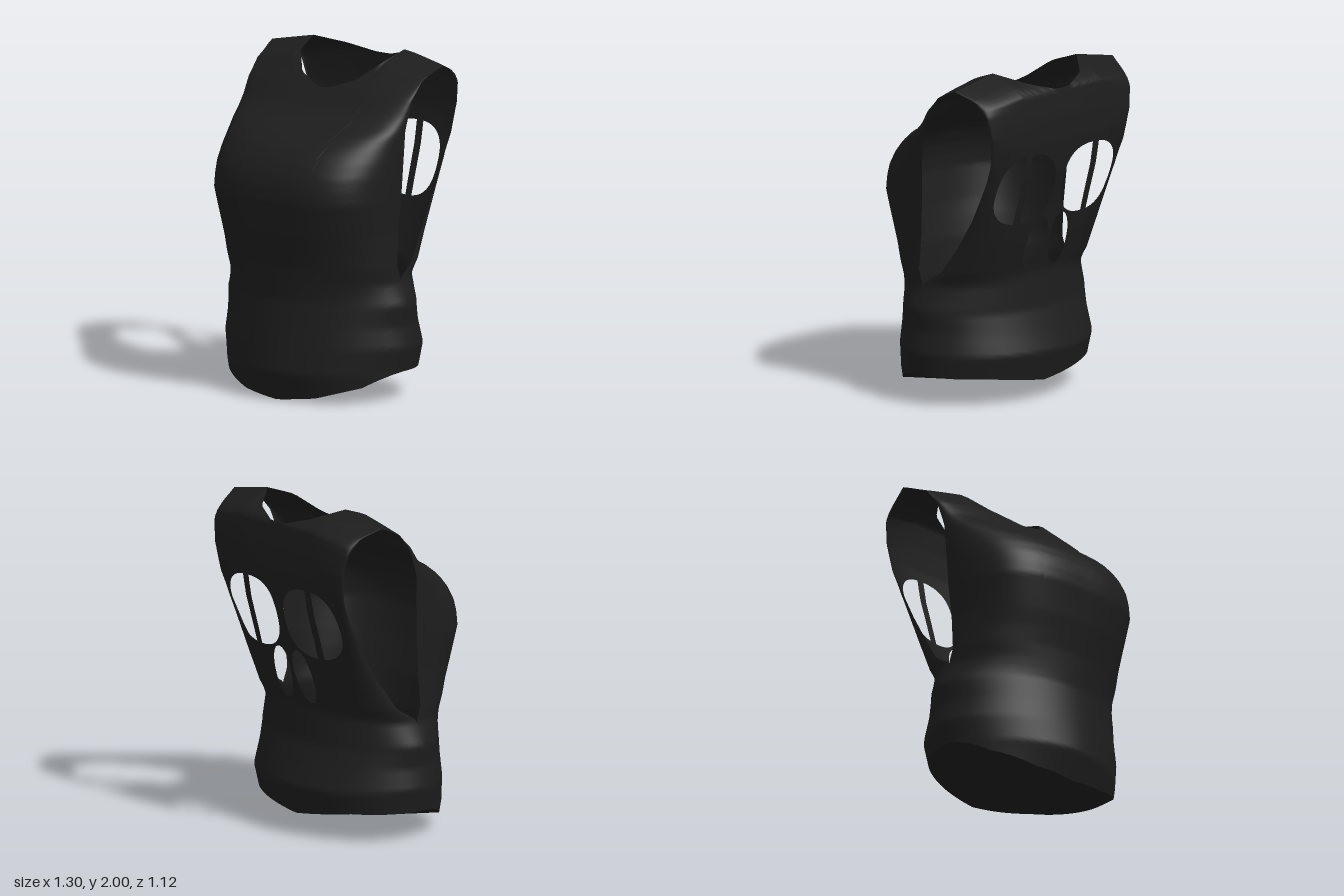
import * as THREE from 'three';

const cloth = new THREE.MeshStandardMaterial({ color: 0x1d1d1d, side: THREE.DoubleSide });
cloth.name = 'black cloth';

// Piecewise-linear lookup in a list of [key, value] pairs
function look(table, k) {
  if (k <= table[0][0]) return table[0][1];
  for (let i = 1; i < table.length; i++) {
    const [k0, v0] = table[i - 1], [k1, v1] = table[i];
    if (k <= k1) return v0 + (v1 - v0) * (k - k0) / (k1 - k0);
  }
  return table[table.length - 1][1];
}

// Half-width below the armholes, shared by both panels, and folds bulging at the side seams
const sideX = [[0, 0.61], [0.18, 0.61], [0.32, 0.625], [0.45, 0.608], [0.58, 0.6], [0.7, 0.582]];
const sideFold = [[0.1, 0.008], [0.18, 0.01], [0.32, 0.024], [0.45, 0.014], [0.57, 0.036], [0.7, 0]];

// Each panel: fullness of its section, half-width, depth at its middle and at its side edge by height;
// neckline and hem by |u|
const front = {
  power: [[0.1, 1.85], [0.65, 1.95], [0.9, 2.3], [1.2, 3.0], [1.35, 2.8], [1.5, 2.4], [1.8, 2.5]],
  halfX: [...sideX, [1.0, 0.575], [1.2, 0.585], [1.6, 0.6], [1.95, 0.61], [2, 0.638]],
  midZ: [[0, 0.46], [0.17, 0.52], [0.6, 0.47], [0.8, 0.49], [1.0, 0.535], [1.2, 0.565], [1.28, 0.56], [1.35, 0.542],
    [1.43, 0.5], [1.5, 0.44], [1.57, 0.33], [1.62, 0.22], [1.68, 0.13], [1.8, 0.02], [1.94, -0.14], [2, -0.31]],
  edgeZ: [[0.72, 0.03], [0.8, 0.06], [1.2, 0.03], [1.6, 0.01], [1.8, -0.05], [1.92, -0.13],
    [1.97, -0.22], [2, -0.3]],
  neck: [[0, 1.785], [0.1, 1.795], [0.33, 1.845], [0.5, 1.945], [0.53, 2]],
  hem: [[0, 0], [0.42, 0.03], [0.81, 0.1], [1, 0.18]],
};
const back = {
  power: [[0.2, 2.1], [0.8, 2.1], [1.0, 2.2], [1.5, 2.2], [1.8, 2.8], [1.95, 2.8], [2, 2.5]],
  halfX: [...sideX, [0.8, 0.56], [0.97, 0.535], [1.15, 0.525], [1.4, 0.525], [1.65, 0.55], [1.95, 0.595], [2, 0.638]],
  midZ: [[0.12, -0.39], [0.3, -0.445], [0.42, -0.405], [0.55, -0.365], [0.77, -0.355], [1.0, -0.425], [1.2, -0.475],
    [1.4, -0.53], [1.6, -0.56], [1.75, -0.555], [1.9, -0.54], [1.945, -0.47], [2, -0.31]],
  edgeZ: [[0.72, 0.03], [0.8, -0.1], [0.97, -0.22], [1.15, -0.33], [1.35, -0.43], [1.5, -0.495],
    [1.68, -0.525], [1.85, -0.5], [1.95, -0.42], [2, -0.3]],
  neck: [[0, 1.9], [0.1, 1.902], [0.36, 1.945], [0.53, 2]],
  hem: [[0, 0.12], [0.64, 0.175], [1, 0.18]],
};

// Cutouts in the back: two large rounded ones, two small tilted ones below
const holes = [];
for (const s of [1, -1]) {
  holes.push({ x: s * 0.247, y: 1.32, rx: 0.215, ry: 0.215, tilt: 0, power: 2.5 });
  holes.push({ x: s * 0.09, y: 0.96, rx: 0.072, ry: 0.165, tilt: s * 0.1, power: 2.2 });
}

// Push a point out of any cutout; returns the cutout it lay in
function pushOut(p) {
  for (const h of holes) {
    const c = Math.cos(h.tilt), s = Math.sin(h.tilt);
    const dx = p.x - h.x, dy = p.y - h.y;
    const a = Math.abs(dx * c + dy * s) / h.rx, b = Math.abs(-dx * s + dy * c) / h.ry;
    const r = Math.pow(Math.pow(a, h.power) + Math.pow(b, h.power), 1 / h.power);
    if (r < 1 && r > 0) {
      p.x = h.x + dx / r;
      p.y = h.y + dy / r;
      return h;
    }
  }
  return null;
}

// Point on a panel from its width and pattern height
function surface(panel, x, y) {
  const a = Math.min(1, Math.abs(x) / look(panel.halfX, y));
  const power = look(panel.power, y);
  const round = Math.pow(Math.max(0, 1 - Math.pow(a, power)), 1 / power);
  const edge = look(panel.edgeZ, y);
  const z = edge + (look(panel.midZ, y) - edge) * round;
  const slope = 0.06 * Math.max(0, (a - 0.53) / 0.47) * THREE.MathUtils.smoothstep(y, 1.6, 2);
  const fold = Math.sign(x) * look(sideFold, y) * Math.pow(a, 10);
  return [x + fold, y - slope, z];
}

// Grid of quads from a point function; keep(i, j) may drop a quad
function grid(cols, rows, point, flip, keep = () => true) {
  const pos = [], index = [];
  for (let j = 0; j <= rows; j++) for (let i = 0; i <= cols; i++) pos.push(...point(i, j));
  for (let j = 0; j < rows; j++) for (let i = 0; i < cols; i++) {
    if (!keep(i, j)) continue;
    const a = j * (cols + 1) + i, b = a + 1, d = a + cols + 1, c = d + 1;
    index.push(...(flip ? [a, c, b, a, d, c] : [a, b, c, a, c, d]));
  }
  const g = new THREE.BufferGeometry();
  g.setAttribute('position', new THREE.Float32BufferAttribute(pos, 3));
  g.setIndex(index);
  g.computeVertexNormals();
  return g;
}

const COLS = 90, ROWS = 90;
const uAt = (i) => Math.sin((i / COLS * 2 - 1) * Math.PI / 2);

function panelGeometry(panel, cut) {
  const inside = [];
  const point = (i, j) => {
    const u = uAt(i), a = Math.abs(u);
    const y = THREE.MathUtils.lerp(look(panel.hem, a), look(panel.neck, a), j / ROWS);
    const p = { x: u * look(panel.halfX, y), y };
    inside[j * (COLS + 1) + i] = cut ? pushOut(p) : null;
    return surface(panel, p.x, p.y);
  };
  const keep = (i, j) => {
    const k = j * (COLS + 1) + i, h = inside[k];
    return !(h && [k + 1, k + COLS + 1, k + COLS + 2].every((n) => inside[n] === h));
  };
  return grid(COLS, ROWS, point, cut, keep);
}

export function createModel() {
  const group = new THREE.Group();
  group.name = 'sleeveless top';
  const add = (name, geometry) => {
    const mesh = new THREE.Mesh(geometry, cloth);
    mesh.name = name;
    group.add(mesh);
  };

  add('front panel', panelGeometry(front, false));
  add('back panel', panelGeometry(back, true));

  // Narrow straps across the two large cutouts
  for (const s of [1, -1]) {
    const strap = grid(2, 16, (i, j) => surface(back, s * 0.268 + (i - 1) * 0.025, 1.1 + j * 0.0275), true);
    add(s > 0 ? 'left back strap' : 'right back strap', strap);
  }

  // Closed underside between the two hems
  add('underside', grid(COLS, 1, (i, j) => {
    const panel = j ? front : back, u = uAt(i), y = look(panel.hem, Math.abs(u));
    return surface(panel, u * look(panel.halfX, y), y);
  }, false));

  return group;
}
